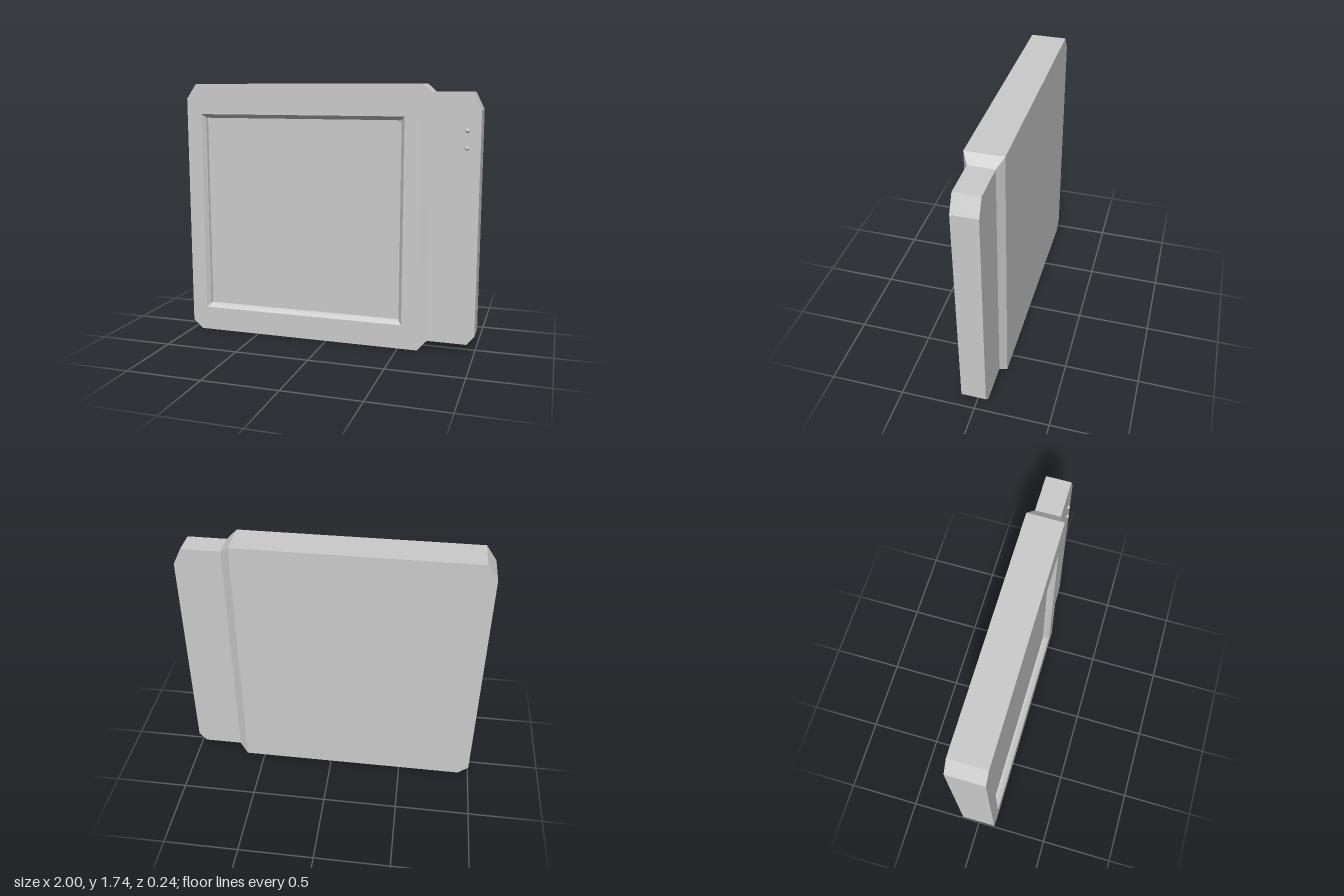
import * as THREE from 'three';

// Outline, counter-clockwise from the front: x, y, half thickness
const H = 0.12, h = 0.082;
const OUTLINE = [
  [-0.93, 0, H], [0.63, 0, H], [0.69, 0.06, h], [0.95, 0.06, h], [1, 0.12, h], [1, 1.58, h],
  [0.945, 1.69, h], [0.69, 1.69, h], [0.63, 1.74, H], [-0.93, 1.74, H], [-1, 1.64, H], [-1, 0.06, H],
];
const BODY = [0, 1, 8, 9, 10, 11], TAPER = [1, 2, 7, 8], GRIP = [2, 3, 4, 5, 6, 7];

const material = new THREE.MeshStandardMaterial({ color: 0xcccccc, flatShading: true });
const smooth = new THREE.MeshStandardMaterial({ color: 0xcccccc });

// Quads between successive rings of [x, y, z] points
function loft(rings, closed = true) {
  const pos = [];
  for (let r = 0; r + 1 < rings.length; r++) {
    const a = rings[r], b = rings[r + 1];
    for (let i = 0; i < (closed ? a.length : a.length - 1); i++) {
      const j = (i + 1) % a.length;
      for (const p of [a[i], a[j], b[j], a[i], b[j], b[i]]) pos.push(...p);
    }
  }
  const geo = new THREE.BufferGeometry();
  geo.setAttribute('position', new THREE.Float32BufferAttribute(pos, 3));
  geo.computeVertexNormals();
  return geo;
}

const rect = (x0, x1, y0, y1, z) => [[x0, y0, z], [x1, y0, z], [x1, y1, z], [x0, y1, z]];
const toV2 = (pts) => pts.map(([x, y]) => new THREE.Vector2(x, y));

export function createModel() {
  const model = new THREE.Group();
  const add = (name, geo, mat = material) => {
    const mesh = new THREE.Mesh(geo, mat);
    mesh.name = name;
    model.add(mesh);
    return mesh;
  };
  const pick = (ids) => ids.map((i) => OUTLINE[i]);

  // Rim running all the way round
  add('rim', loft([-1, 1].map((s) => OUTLINE.map(([x, y, z]) => [x, y, s * z]))));

  // Screen recess: bevel, short step, then the flat screen
  const recess = [
    rect(-0.895, 0.523, 0.163, 1.535, H),
    rect(-0.872, 0.5, 0.186, 1.512, H - 0.027),
    rect(-0.868, 0.497, 0.19, 1.509, H - 0.045),
  ];
  add('screenBezel', loft(recess));
  const floor = recess[2];
  add('screen', loft([[floor[0], floor[1]], [floor[3], floor[2]]], false));

  // Front and back faces of the thick body and the thin side grip
  const bodyShape = new THREE.Shape(toV2(pick(BODY)));
  const gripShape = new THREE.Shape(toV2(pick(GRIP)));
  const bodyFront = bodyShape.clone();
  bodyFront.holes.push(new THREE.Path(toV2(recess[0])));
  add('bodyFront', new THREE.ShapeGeometry(bodyFront).translate(0, 0, H));
  add('gripFront', new THREE.ShapeGeometry(gripShape).translate(0, 0, h));

  const flipped = (shape) => {
    const geo = new THREE.ShapeGeometry(shape);
    geo.setIndex(Array.from(geo.index.array).reverse());
    geo.computeVertexNormals();
    return geo;
  };
  add('bodyBack', flipped(bodyShape).translate(0, 0, -H));
  add('gripBack', flipped(gripShape).translate(0, 0, -h));

  // Sloped strips joining body and grip
  const [a, b, c, d] = pick(TAPER);
  add('taperFront', loft([[a, b], [d, c]], false));
  const neg = ([x, y, z]) => [x, y, -z];
  add('taperBack', loft([[neg(b), neg(a)], [neg(c), neg(d)]], false));

  // Two small indicator lights on the grip
  for (const y of [1.34, 1.45]) {
    add('indicatorLight', new THREE.SphereGeometry(0.014, 16, 12), smooth).position.set(0.917, y, h);
  }
  return model;
}
